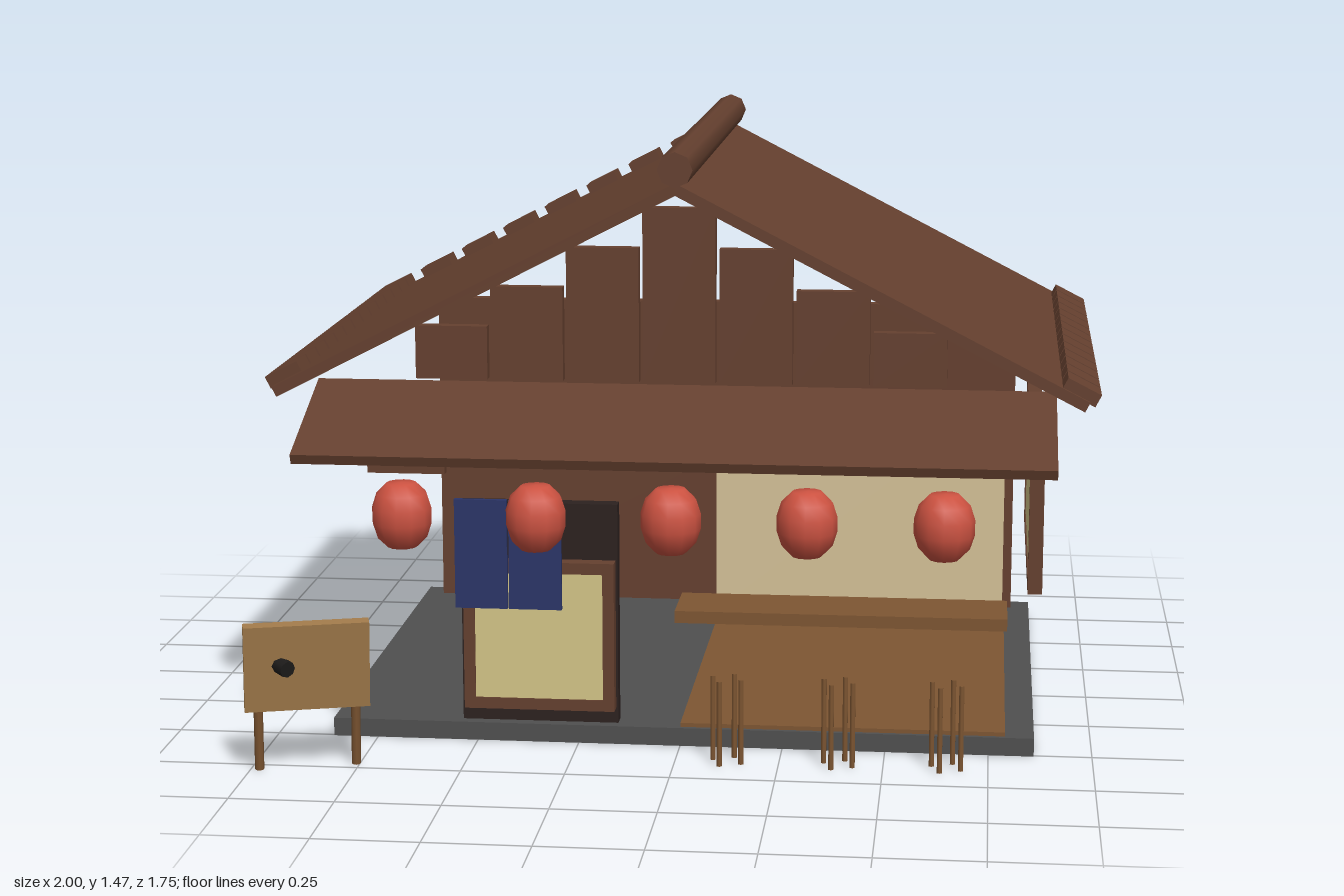
import * as THREE from 'three';

const mat = (name, color, extra = {}) => {
  const m = new THREE.MeshStandardMaterial({ color, ...extra });
  m.name = name;
  return m;
};

export function createModel() {
  const brown = mat('dark brown timber', 0x65402f);
  const grey = mat('stone grey', 0x505050);
  const black = mat('charred wood', 0x2c211f);
  const paper = mat('paper yellow', 0xd4c688);
  const screenCream = mat('screen cream', 0xd5c298);
  const red = mat('lantern red', 0xcc5241);
  const navy = mat('navy cloth', 0x2b3568);
  const wood = mat('mid wood', 0x7e5632);
  const tan = mat('light wood', 0xa07a4a);
  const ink = mat('near black', 0x1d1b1a);

  const model = new THREE.Group();
  model.name = 'stall';

  const add = (name, geo, material, x = 0, y = 0, z = 0, parent = model) => {
    const m = new THREE.Mesh(geo, material);
    m.name = name;
    m.position.set(x, y, z);
    parent.add(m);
    return m;
  };
  // Box given by its minimum and maximum on each axis
  const box = (name, material, x0, x1, y0, y1, z0, z1, parent = model) =>
    add(name, new THREE.BoxGeometry(x1 - x0, y1 - y0, z1 - z0), material,
      (x0 + x1) / 2, (y0 + y1) / 2, (z0 + z1) / 2, parent);
  // Rectangular frame in the xy plane around a pane, centred on its group
  const framedPane = (name, w, h, depth, bar) => {
    const g = new THREE.Group();
    g.name = name;
    for (const s of [-1, 1]) {
      add('frameStile', new THREE.BoxGeometry(bar, h, depth), brown, s * (w - bar) / 2, 0, 0, g);
      add('frameRail', new THREE.BoxGeometry(w - 2 * bar, bar, depth), brown, 0, s * (h - bar) / 2, 0, g);
    }
    add('pane', new THREE.BoxGeometry(w - 2 * bar, h - 2 * bar, depth * 0.8), paper, 0, 0, 0, g);
    model.add(g);
    return g;
  };

  // Base, mat and back wall
  box('floorSlab', grey, -0.86, 0.86, 0, 0.045, -0.765, 0.506);
  box('floorMat', wood, 0, 0.79, 0.045, 0.055, -0.56, 0.495);
  box('backWall', brown, -0.81, 0.81, 0.045, 0.905, -0.735, -0.7);
  box('paperScreen', screenCream, -0.01, 0.785, 0.055, 0.68, -0.592, -0.56);

  // Back gable, a single sheet facing outwards
  const tri = new THREE.Shape([[-0.81, 0.905], [0.81, 0.905], [0, 1.355]].map(p => new THREE.Vector2(...p)));
  add('backGable', new THREE.ShapeGeometry(tri), brown, 0, 0, -0.735).rotation.y = Math.PI;

  // Stepped planks of the front gable
  for (let i = -3; i <= 3; i++) {
    const top = 1.325 - Math.abs(i) * 0.097;
    box('gablePlank', brown, i * 0.183 - 0.087, i * 0.183 + 0.087, 0.905, top, 0.485, 0.515);
  }

  // Roof slopes with tiles along the eaves and one back edge
  const slope = 0.476;
  const roofY = x => 1.392 - 0.515 * Math.abs(x);
  const tile = (side, x, z) =>
    add('roofTile', new THREE.BoxGeometry(0.088, 0.032, 0.09), brown, x, roofY(x) + 0.012, z).rotation.z = -side * slope;
  for (const side of [-1, 1]) {
    const slab = add('roofSlope', new THREE.BoxGeometry(1.085, 0.026, 1.46), brown,
      side * 0.482, roofY(0.482) - 0.014, -0.13);
    slab.rotation.z = -side * slope;
    for (let i = 0; i < 14; i++) tile(side, side * 0.95, (side < 0 ? -0.815 : -0.78) + i * 0.102);
  }
  for (let i = 1; i < 8; i++) tile(-1, -0.946 + i * 0.119, -0.815);
  const ridge = add('ridgePole', new THREE.CylinderGeometry(0.042, 0.042, 1.49, 8), brown, 0, 1.425, -0.135);
  ridge.rotation.x = Math.PI / 2;

  // Sloping front awning
  const awning = add('awning', new THREE.BoxGeometry(1.785, 0.025, 0.34), brown, 0.003, 0.815, 0.603);
  awning.rotation.x = 0.37;

  // Doorway, door, cloth and name board
  box('doorwayPanel', black, -0.54, -0.155, 0.045, 0.595, 0.44, 0.478);
  framedPane('door', 0.37, 0.372, 0.037, 0.028).position.set(-0.345, 0.27, 0.497);
  for (const x of [-0.48, -0.348])
    box('doorCurtain', navy, x - 0.064, x + 0.064, 0.345, 0.615, 0.53, 0.543);
  box('nameBoard', brown, -0.76, -0.57, 0.67, 0.8, 0.49, 0.515);

  // Side window
  const win = framedPane('sideWindow', 0.815, 0.4, 0.036, 0.022);
  win.position.set(0.858, 0.545, -0.127);
  win.rotation.y = Math.PI / 2;

  // Counter
  box('counter', wood, -0.015, 0.79, 0.305, 0.335, 0.31, 0.485);

  // Stool legs
  const legGeo = new THREE.CylinderGeometry(0.007, 0.007, 0.21, 6);
  for (const x of [0.125, 0.392, 0.65])
    for (const [dx, dz] of [[-0.035, -0.015], [0.015, -0.035], [0.035, 0.015], [-0.015, 0.035]])
      add('stoolLeg', legGeo, wood, x + dx, 0.105, 0.617 + dz);

  // Hanging lanterns
  const profile = [[0, -0.079], [0.035, -0.077], [0.06, -0.052], [0.071, -0.018],
    [0.071, 0.018], [0.06, 0.052], [0.035, 0.077], [0, 0.079]].map(p => new THREE.Vector2(...p));
  const lanternGeo = new THREE.LatheGeometry(profile, 12);
  for (let i = -2; i <= 2; i++) add('lantern', lanternGeo, red, i * 0.319, 0.614, 0.705);

  // Leaning notice board on two legs
  const board = new THREE.Group();
  board.name = 'noticeBoard';
  board.position.set(-0.855, 0.265, 0.797);
  board.rotation.set(0.13, 0.29, 0, 'YXZ');
  model.add(board);
  add('boardPanel', new THREE.BoxGeometry(0.295, 0.215, 0.03), tan, 0, 0, 0, board);
  for (const s of [-1, 1])
    add('boardLeg', new THREE.CylinderGeometry(0.011, 0.011, 0.27, 8), wood, s * 0.115, -0.132, -0.012, board);
  const peg = add('boardPeg', new THREE.CylinderGeometry(0.02, 0.02, 0.09, 8), ink, -0.068, 0.008, 0, board);
  peg.rotation.set(Math.PI / 2, 0, -0.5);

  return model;
}
